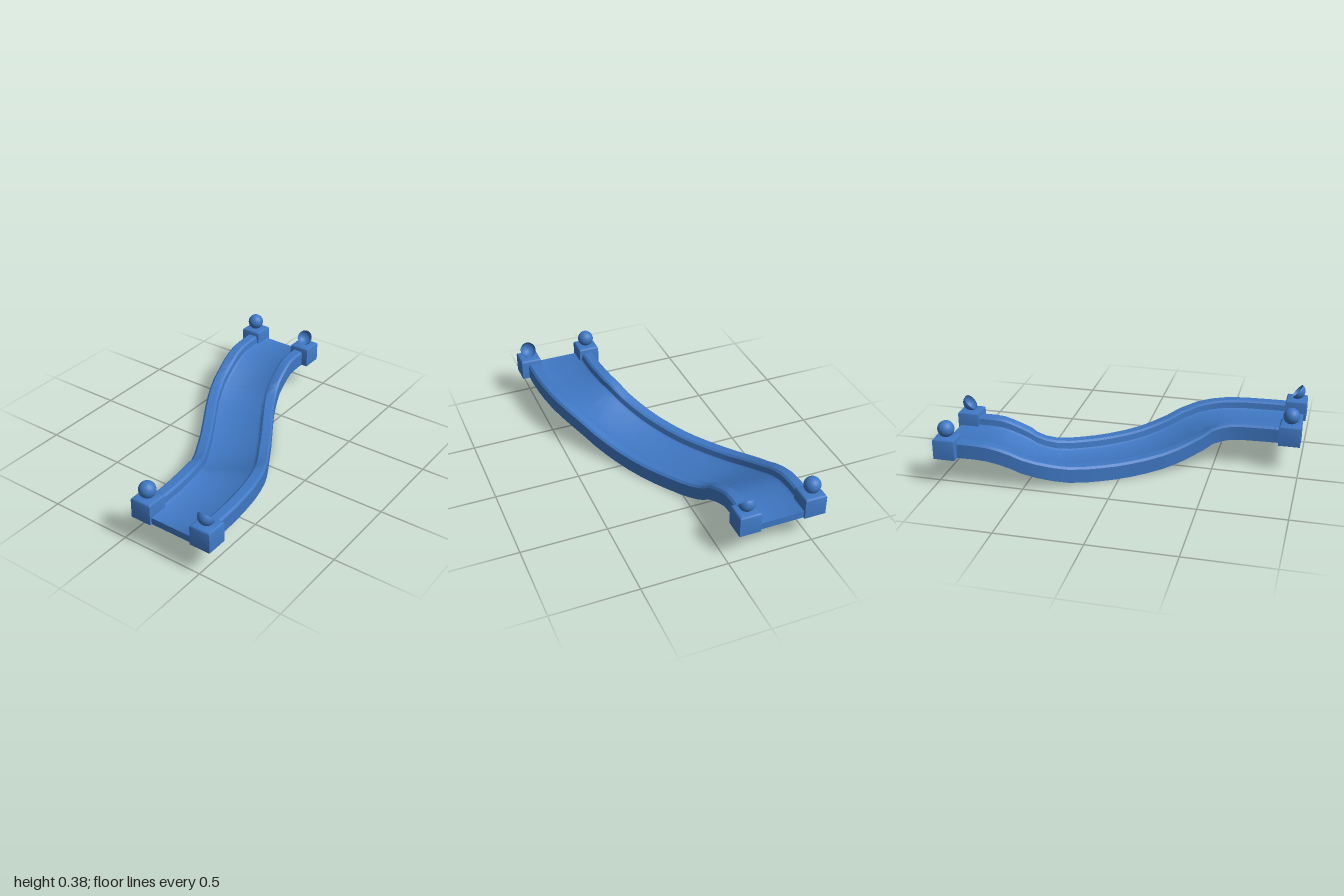
import * as THREE from 'three';
import { toCreasedNormals } from 'three/addons/utils/BufferGeometryUtils.js';

const blue = new THREE.MeshStandardMaterial({ color: 0x3f78c4 });
const blueOpen = new THREE.MeshStandardMaterial({ color: 0x3f78c4, side: THREE.DoubleSide });

// Centre line of the track: x, underside height, z
const path = [
  [-0.31, 0.17, -0.987], [-0.31, 0.17, -0.86], [-0.305, 0.165, -0.72], [-0.29, 0.125, -0.6],
  [-0.268, 0.07, -0.486], [-0.212, 0.024, -0.353], [-0.122, 0.006, -0.2], [-0.03, 0.005, -0.05],
  [0.07, 0.028, 0.12], [0.155, 0.075, 0.26], [0.24, 0.145, 0.41], [0.285, 0.169, 0.55],
  [0.305, 0.17, 0.72], [0.31, 0.17, 0.86], [0.31, 0.17, 0.987],
].map(p => new THREE.Vector3(...p));

// Channel cross-section, counter-clockwise: flat floor with a raised rail on each side
function channelProfile() {
  const half = [[0.215, 0], [0.215, 0.083], [0.203, 0.095], [0.157, 0.095], [0.145, 0.085], [0.14, 0.05], [0.125, 0.04]];
  const mirrored = half.map(([u, v]) => [-u, v]).reverse();
  return [...half, ...mirrored].map(p => new THREE.Vector2(...p));
}

// Sweeps an upright profile along the curve and caps both ends
function sweep(points, profile, steps) {
  const curve = new THREE.CatmullRomCurve3(points);
  const n = profile.length, pos = [], index = [];
  for (let i = 0; i <= steps; i++) {
    const p = curve.getPoint(i / steps), t = curve.getTangent(i / steps);
    if (i === 0 || i === steps) t.set(0, 0, 1);
    t.setY(0).normalize();
    for (const q of profile) pos.push(p.x + t.z * q.x, p.y + q.y, p.z - t.x * q.x);
  }
  for (let i = 0; i < steps; i++) {
    for (let j = 0; j < n; j++) {
      const a = i * n + j, b = i * n + (j + 1) % n;
      index.push(a, b, b + n, a, b + n, a + n);
    }
  }
  for (const [a, b, c] of THREE.ShapeUtils.triangulateShape(profile, [])) {
    const end = steps * n;
    index.push(c, b, a, end + a, end + b, end + c);
  }
  const geo = new THREE.BufferGeometry();
  geo.setAttribute('position', new THREE.Float32BufferAttribute(pos, 3));
  geo.setIndex(index);
  return toCreasedNormals(geo, 0.65);
}

// Square post with a softened top edge
function postGeometry(halfWidth, height) {
  const k = Math.SQRT2;
  const pts = [
    [0, 0], [halfWidth, 0], [halfWidth, height - 0.011], [halfWidth - 0.003, height - 0.004],
    [halfWidth - 0.01, height], [0, height],
  ].map(([r, y]) => new THREE.Vector2(r * k, y));
  return toCreasedNormals(new THREE.LatheGeometry(pts, 4, Math.PI / 4), 0.65);
}

export function createModel() {
  const group = new THREE.Group();
  group.name = 'curvedTrack';
  const add = (name, geo, mat, x = 0, y = 0, z = 0) => {
    const mesh = new THREE.Mesh(geo, mat);
    mesh.name = name;
    mesh.position.set(x, y, z);
    group.add(mesh);
    return mesh;
  };

  add('channel', sweep(path, channelProfile(), 28), blue);

  // Corner posts and finials; one finial at each end is an open, tilted half ball
  const post = postGeometry(0.063, 0.123);
  const ball = new THREE.SphereGeometry(0.048, 28, 18);
  const bowl = new THREE.SphereGeometry(0.048, 28, 10, 0, Math.PI * 2, Math.PI / 2, Math.PI / 2);
  for (const s of [1, -1]) {
    const end = s > 0 ? 'front' : 'back';
    add(end + 'InnerPost', post, blue, s * 0.12, 0.17, s * 0.937);
    add(end + 'OuterPost', post, blue, s * 0.505, 0.17, s * 0.937);
    const innerHalf = s < 0;
    add(end + 'BallFinial', ball, blue, s * (innerHalf ? 0.507 : 0.12), 0.338, s * 0.937);
    const half = add(end + 'HalfBallFinial', bowl, blueOpen, s * (innerHalf ? 0.12 : 0.505), 0.338, s * 0.937);
    half.rotation.x = -s * THREE.MathUtils.degToRad(50);
  }
  return group;
}
